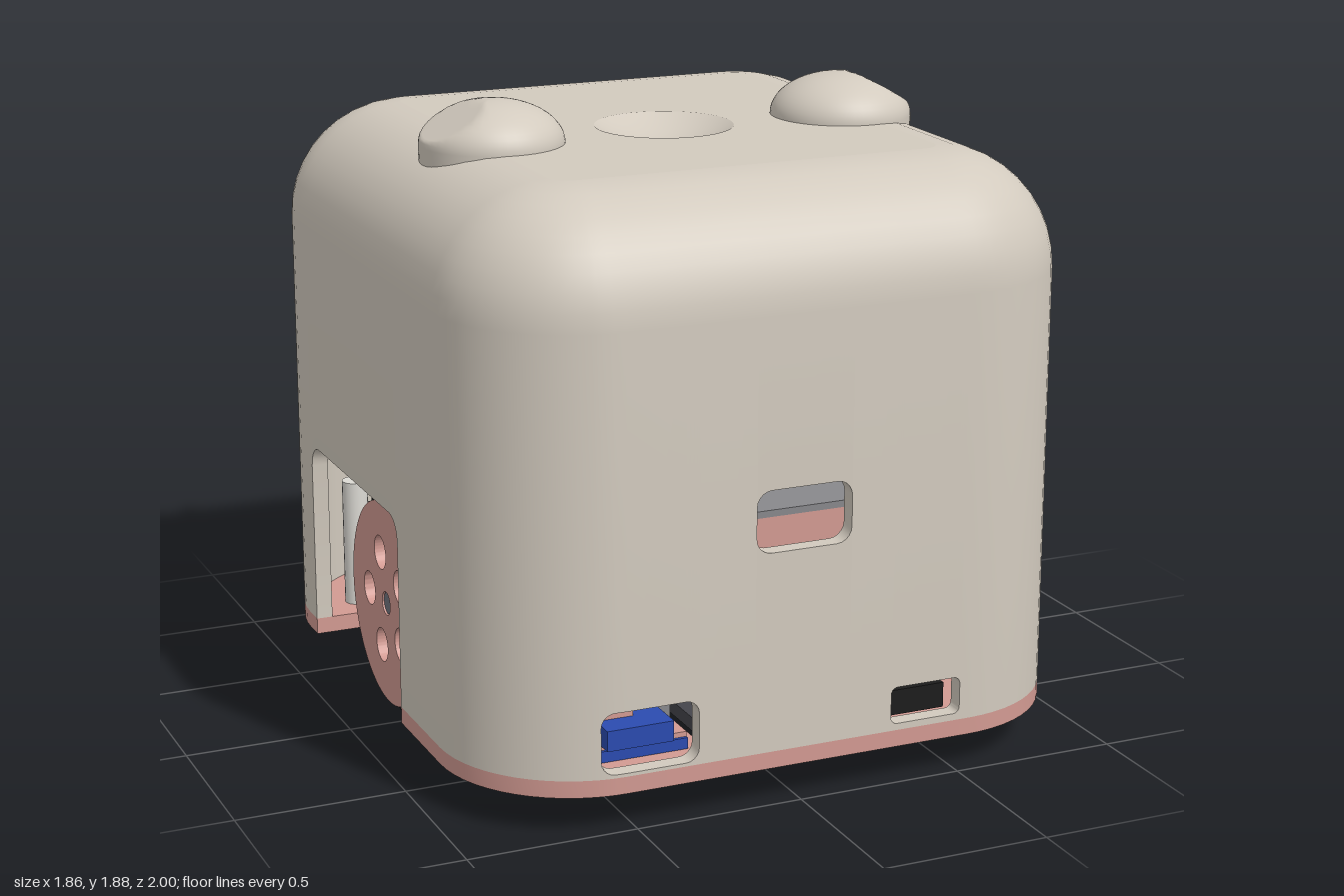
import * as THREE from 'three';
import { toCreasedNormals, mergeVertices } from 'three/addons/utils/BufferGeometryUtils.js';

const mat = (name, color, side = THREE.FrontSide) =>
  Object.assign(new THREE.MeshStandardMaterial({ color, side }), { name });

export function createModel() {
  const cream = mat('cream', 0xd2cabe, THREE.DoubleSide);
  const pink = mat('pink', 0xd29a92);
  const black = mat('black', 0x1c1c1c);
  const blue = mat('blue', 0x2b4bb0);
  const slate = mat('slate', 0x70737d);
  const grey = mat('grey', 0x88888b);
  const darkGrey = mat('darkGrey', 0x45454b);
  const green = mat('green', 0x124f2d);
  const white = mat('white', 0xdcdad4);

  const model = new THREE.Group();
  const add = (name, geo, material, x = 0, y = 0, z = 0, parent = model) => {
    const m = new THREE.Mesh(geo, material);
    m.name = name;
    m.position.set(x, y, z);
    parent.add(m);
    return m;
  };
  // box given by its limits
  const box = (name, material, x0, x1, y0, y1, z0, z1) =>
    add(name, new THREE.BoxGeometry(Math.abs(x1 - x0), y1 - y0, z1 - z0), material,
      (x0 + x1) / 2, (y0 + y1) / 2, (z0 + z1) / 2);
  const extrude = (shape, depth, curveSegments = 16) => toCreasedNormals(
    new THREE.ExtrudeGeometry(shape, { depth, bevelEnabled: false, curveSegments }), 0.5);
  const circle = (x, y, r) => new THREE.Path().absarc(x, y, r, 0, Math.PI * 2, true);
  const roundRect = (x, y, w, h, r, S = THREE.Shape) => {
    const p = new S(), q = Math.PI / 2;
    [[1, -1], [1, 1], [-1, 1], [-1, -1]].forEach(([sx, sy], i) =>
      p.absarc(x + sx * (w - r), y + sy * (h - r), r, (i - 1) * q, i * q, false));
    p.closePath();
    return p;
  };

  // Rounded-rectangle perimeter, s runs from the front centre towards +x
  const W = 0.93, D = 1, R = 0.4, a = W - R, b = D - R, Q = R * Math.PI / 2;
  const half = 2 * a + 2 * b + 2 * Q, L = 2 * half;
  const perimeter = (s, off = 0) => {
    s = ((s % L) + L) % L;
    if (s > half) { const p = perimeter(L - s, off); return [-p[0], p[1]]; }
    const arc = (cz, t) => [a + (R - off) * Math.sin(t), cz + (R - off) * Math.cos(t)];
    if (s < a) return [s, D - off];
    if ((s -= a) < Q) return arc(b, s / R);
    if ((s -= Q) < 2 * b) return [W - off, b - s];
    if ((s -= 2 * b) < Q) return arc(-b, Math.PI / 2 + s / R);
    return [a - (s - Q), -D + off];
  };
  const P = (s, y, off) => { const [x, z] = perimeter(s, off); return [x, y, z]; };

  // Openings in the shell: centre s, centre y, half width, half height, corner radius
  const sideS = a + Q + b + 0.13;
  const holes = [
    { s: 0, y: 0.84, w: 0.145, h: 0.09, r: 0.045 },
    { s: 0.39, y: 0.24, w: 0.11, h: 0.055, r: 0.02 },
    { s: L - 0.46, y: 0.265, w: 0.145, h: 0.09, r: 0.04 },
    { s: half, y: 1.2, w: 0.435, h: 0.265, r: 0.13 },
    { s: sideS, y: 0.36, w: 0.4, h: 0.375, r: 0.07, open: true },
    { s: L - sideS, y: 0.36, w: 0.4, h: 0.375, r: 0.07, open: true },
  ];
  const Y0 = 0.165, F = 0.34, TOP = 1.76, Y1 = TOP - F, T = 0.05;
  const dist = (h, s) => { const d = Math.abs(s - h.s); return Math.min(d, L - d); };
  const span = (h, s) => {
    const d = Math.min(dist(h, s), h.w) - (h.w - h.r);
    const inset = d > 0 ? h.r - Math.sqrt(Math.max(0, h.r * h.r - d * d)) : 0;
    return [h.open ? Y0 : h.y - h.h + inset, h.y + h.h - inset];
  };
  const stops = [];
  for (const start of [a, a + Q + 2 * b])
    for (let i = 0; i <= 14; i++) stops.push(start + Q * i / 14, L - start - Q * i / 14);
  for (const h of holes) for (const g of [-1, 1])
    for (let i = 0; i <= 5; i++) {
      const e = h.w - h.r + h.r * Math.sin(i / 5 * Math.PI / 2);
      stops.push((h.s + g * e + L) % L);
    }
  stops.sort((p, q) => p - q);
  const cols = stops.filter((s, i) => i === 0 || s - stops[i - 1] > 1e-5);
  cols.push(cols[0] + L);

  // Shell: walls with openings, rims and the rounded top edge
  const pos = [];
  const quad = (p, q, r, s) => pos.push(...p, ...q, ...r, ...p, ...r, ...s);
  const wall = (s0, s1, l0, l1, h0, h1) => {
    if (h0 - l0 < 1e-6 && h1 - l1 < 1e-6) return;
    quad(P(s0, l0, 0), P(s1, l1, 0), P(s1, h1, 0), P(s0, h0, 0));
    quad(P(s1, l1, T), P(s0, l0, T), P(s0, h0, T), P(s1, h1, T));
  };
  const rim = (s0, s1, y0, y1) => quad(P(s0, y0, 0), P(s1, y1, 0), P(s1, y1, T), P(s0, y0, T));
  for (let i = 0; i < cols.length - 1; i++) {
    const s0 = cols[i], s1 = cols[i + 1], mid = ((s0 + s1) / 2) % L;
    const h = holes.find(o => dist(o, mid) < o.w);
    if (h) {
      const [l0, h0] = span(h, s0 % L), [l1, h1] = span(h, s1 % L);
      wall(s0, s1, Y0, Y0, l0, l1);
      wall(s0, s1, h0, h1, Y1, Y1);
      rim(s1, s0, h1, h0);
      if (!h.open) rim(s0, s1, l0, l1);
    } else wall(s0, s1, Y0, Y0, Y1, Y1);
    for (let k = 0; k < 10; k++) {
      const ring = (s, j, t) => {
        const p = j / 10 * Math.PI / 2, f = F - t;
        return P(s, Y1 + f * Math.sin(p), t + f * (1 - Math.cos(p)));
      };
      quad(ring(s0, k, 0), ring(s1, k, 0), ring(s1, k + 1, 0), ring(s0, k + 1, 0));
      quad(ring(s1, k, T), ring(s0, k, T), ring(s0, k + 1, T), ring(s1, k + 1, T));
    }
  }
  for (const h of holes) for (const g of [-1, 1]) {
    const s = h.s + g * h.w, [lo, hi] = span(h, s);
    const c = [P(s, lo, 0), P(s, lo, T), P(s, hi, T), P(s, hi, 0)];
    quad(...(g < 0 ? c : c.reverse()));
  }
  const shell = new THREE.BufferGeometry();
  shell.setAttribute('position', new THREE.Float32BufferAttribute(pos, 3));
  add('shell', toCreasedNormals(shell, 0.5), cream);

  // Flat top with a shallow round dish
  const topShape = new THREE.Shape(cols.slice(0, -1).map(s => {
    const [x, z] = perimeter(s, F); return new THREE.Vector2(x, -z);
  }));
  topShape.holes.push(circle(0, -0.04, 0.205));
  add('top', extrude(topShape, T, 32).rotateX(-Math.PI / 2), cream, 0, TOP - T, 0);
  const dish = [];
  for (let i = 0; i <= 10; i++) { const r = 1 - i / 10; dish.push(new THREE.Vector2(0.205 * r, -0.06 * (1 - r * r))); }
  add('dish', new THREE.LatheGeometry(dish, 64), cream, 0, TOP, 0.04);

  // Domed ears with a slanted outer face, and small tabs at the rear edge
  const dome = [new THREE.Vector2(0.21, -0.1)];
  for (let i = 0; i <= 14; i++) {
    const t = i / 14 * Math.PI / 2;
    dome.push(new THREE.Vector2(0.21 * Math.cos(t), 0.125 * Math.sin(t)));
  }
  for (const sx of [-1, 1]) {
    let g = new THREE.LatheGeometry(dome, 48);
    const p = g.attributes.position;
    for (let i = 0; i < p.count; i++)
      p.setY(i, Math.min(p.getY(i), 0.125 - 0.6 * (sx * p.getX(i) - 0.03)));
    g.deleteAttribute('normal'); g.deleteAttribute('uv');
    g = mergeVertices(g, 1e-4);
    g.computeVertexNormals();
    add('ear', g, cream, sx * 0.555, TOP, 0.085);
    box('rearTab', cream, sx * 0.395, sx * 0.44, 1.58, 1.635, -0.955, -0.935);
  }

  // Base plate with wheel notches, caster opening and vents
  const outline = [];
  for (const s of cols.slice(0, -1)) {
    const [x, z] = perimeter(s);
    const side = Math.abs(x) > W - 1e-6 && z > -0.531 && z < 0.271;
    if (!side) outline.push([x, z]);
    else if (Math.abs(z - 0.27) < 1e-4 || Math.abs(z + 0.53) < 1e-4) {
      const inner = [Math.sign(x) * 0.62, z], entering = (z > 0) === (x > 0);
      outline.push(...(entering ? [[x, z], inner] : [inner, [x, z]]));
    }
  }
  const baseShape = new THREE.Shape(outline.map(([x, z]) => new THREE.Vector2(x, -z)));
  baseShape.holes.push(roundRect(0, -0.64, 0.25, 0.19, 0.01, THREE.Path),
    roundRect(0.57, 0.73, 0.13, 0.13, 0.01, THREE.Path), circle(0, -0.23, 0.018));
  for (let i = 0; i < 6; i++)
    baseShape.holes.push(circle(0.055 * Math.cos(i * Math.PI / 3), -0.23 + 0.055 * Math.sin(i * Math.PI / 3), 0.018));
  add('basePlate', extrude(baseShape, 0.05).rotateX(-Math.PI / 2), pink, 0, 0.115, 0);
  const ringShape = new THREE.Shape().absarc(0, 0, 0.04, 0, Math.PI * 2);
  ringShape.holes.push(circle(0, 0, 0.018));
  const screw = extrude(ringShape, 0.025).rotateX(-Math.PI / 2);
  for (const [x, z] of [[0.81, 0.645], [-0.81, 0.645], [0.81, -0.645], [-0.81, -0.645], [0.26, -0.27], [-0.25, -0.28], [0, 0.02]])
    add('screwBoss', screw, pink, x, 0.095, z);
  add('casterBall', new THREE.SphereGeometry(0.13, 40, 24), slate, 0, 0.135, 0.655);
  box('casterHousing', darkGrey, -0.27, 0.27, 0.2, 0.24, 0.43, 0.85);

  // Wheels and wheel wells
  const teeth = new THREE.Shape();
  for (let i = 0; i < 160; i++) {
    const t = (i + 0.5) / 160 * Math.PI * 2, r = i % 4 < 2 ? 0.328 : 0.318;
    teeth[i ? 'lineTo' : 'moveTo'](r * Math.cos(t), r * Math.sin(t));
  }
  teeth.closePath();
  teeth.holes.push(circle(0, 0, 0.305));
  for (const sx of [-1, 1]) {
    const wheel = new THREE.Group();
    wheel.name = 'wheel';
    wheel.position.set(0, 0.335, -0.13);
    wheel.rotation.y = sx * Math.PI / 2;
    model.add(wheel);
    const face = new THREE.Shape().absarc(0, 0, 0.313, 0, Math.PI * 2);
    face.holes.push(circle(0, 0, 0.036));
    for (let i = 0; i < 5; i++) {
      const t = i * Math.PI * 0.4 + (sx < 0 ? Math.PI : 0);
      face.holes.push(circle(0.155 * Math.cos(t), 0.155 * Math.sin(t), 0.052));
    }
    add('hubFace', extrude(face, 0.05, 32), pink, 0, 0, 0.785, wheel);
    add('hubCore', new THREE.CylinderGeometry(0.313, 0.313, 0.125, 64).rotateX(Math.PI / 2), pink, 0, 0, 0.7225, wheel);
    add('innerTyre', extrude(teeth, 0.058, 32), black, 0, 0, 0.686, wheel);
    add('outerTyre', extrude(teeth, 0.058, 32), black, 0, 0, 0.76, wheel);
    add('axle', new THREE.CylinderGeometry(0.034, 0.034, 0.28, 24).rotateX(Math.PI / 2), slate, 0, 0, 0.69, wheel);

    box('wellWall', pink, sx * 0.57, sx * 0.6, 0.115, 0.72, -0.53, 0.27);
    box('wellCeiling', pink, sx * 0.57, sx * 0.88, 0.7, 0.75, -0.54, 0.28);
    box('rearBoard', green, sx * 0.4, sx * 0.7, 0.3, 0.33, -0.85, -0.56);
    add('pillar', new THREE.CylinderGeometry(0.04, 0.04, 0.4, 20), white, sx * 0.76, 0.365, -0.64);
  }
  box('frontBoard', green, 0.4, 0.76, 0.3, 0.33, 0.3, 0.65);
  box('battery', blue, -0.78, -0.45, 0.3, 0.6, 0.31, 0.6);
  box('rearConnector', grey, 0.5, 0.62, 0.2, 0.3, -0.8, -0.68);

  // Parts behind the front windows
  box('shelf', pink, -0.4, 0.4, 0.6, 0.81, 0.5, 0.88);
  box('shelfPlate', grey, -0.4, 0.4, 0.81, 0.83, 0.5, 0.88);
  box('upperUnit', blue, -0.4, 0.4, 0.831, 1.05, 0.3, 0.6);
  box('portBack', grey, -0.64, -0.28, 0.165, 0.42, 0.68, 0.72);
  box('portPost', pink, -0.56, -0.45, 0.275, 0.38, 0.72, 0.85);
  box('portBlock', blue, -0.56, -0.36, 0.215, 0.275, 0.72, 0.93);
  box('portBoard', pink, -0.62, -0.3, 0.2, 0.215, 0.72, 0.88);
  box('portFoot', blue, -0.62, -0.3, 0.167, 0.2, 0.72, 0.89);
  box('switchBack', grey, 0.26, 0.52, 0.167, 0.34, 0.78, 0.82);
  box('switchBody', black, 0.295, 0.48, 0.185, 0.26, 0.82, 0.94);
  box('switchHolder', pink, 0.45, 0.52, 0.262, 0.33, 0.82, 0.88);

  // Rear sensor panel
  const frame = roundRect(0, 0, 0.435, 0.265, 0.13);
  frame.holes.push(roundRect(0, 0, 0.34, 0.17, 0.04, THREE.Path));
  add('sensorFrame', extrude(frame, 0.06), black, 0, 1.2, -1.003);
  const plate = roundRect(0, 0, 0.4, 0.23, 0.1);
  for (const sx of [-1, 1]) plate.holes.push(roundRect(sx * 0.165, 0, 0.078, 0.13, 0.055, THREE.Path));
  add('sensorPlate', extrude(plate, 0.02), black, 0, 1.2, -0.955);
  box('sensorWindows', cream, -0.36, 0.36, 1.0, 1.4, -0.934, -0.925);

  return model;
}
